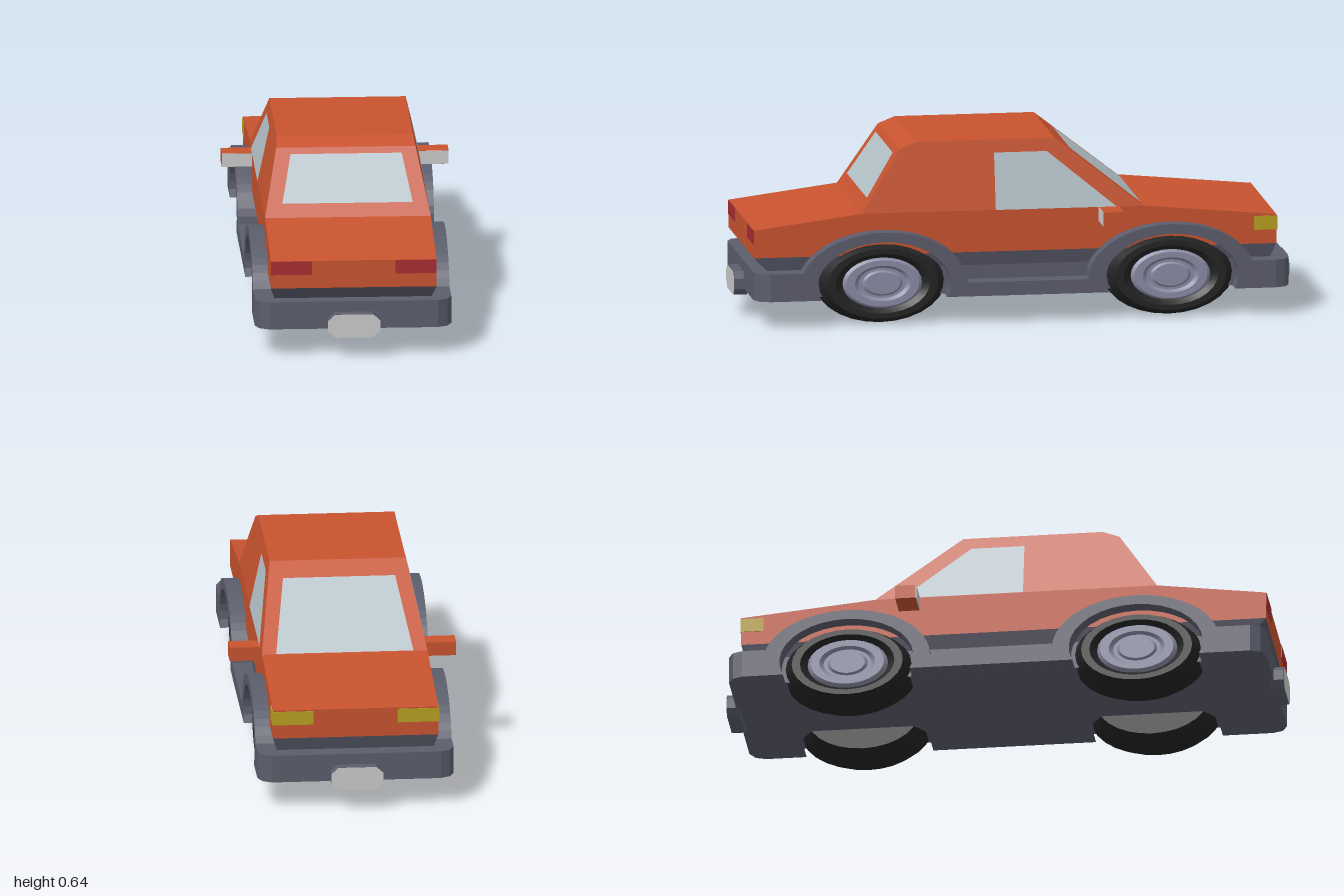
import * as THREE from 'three';
import { toCreasedNormals } from 'three/addons/utils/BufferGeometryUtils.js';

const mat = (color) => new THREE.MeshStandardMaterial({ color });

// Extrudes a (z, y) side profile across x0..x1; widthAt(y) optionally tapers it.
function sideExtrude(points, x0, x1, widthAt) {
  const shape = new THREE.Shape(points.map(([z, y]) => new THREE.Vector2(z, y)));
  const geo = new THREE.ExtrudeGeometry(shape, { depth: x1 - x0, bevelEnabled: false });
  geo.rotateY(-Math.PI / 2).translate(x1, 0, 0);
  if (widthAt) {
    const p = geo.attributes.position;
    for (let i = 0; i < p.count; i++) p.setX(i, Math.sign(p.getX(i)) * widthAt(p.getY(i)));
    geo.computeVertexNormals();
  }
  return geo;
}

function box(x0, x1, y0, y1, z0, z1) {
  return new THREE.BoxGeometry(x1 - x0, y1 - y0, z1 - z0)
    .translate((x0 + x1) / 2, (y0 + y1) / 2, (z0 + z1) / 2);
}

// Flat pane from four corners, counter-clockwise as seen from outside.
function pane(corners) {
  const geo = new THREE.BufferGeometry();
  geo.setAttribute('position', new THREE.Float32BufferAttribute(corners.flat(), 3));
  geo.setIndex([0, 1, 2, 0, 2, 3]);
  geo.computeVertexNormals();
  return geo;
}

// Elliptical arc of (z, y) points.
function arc(cz, cy, rz, ry, from, to, n = 20) {
  return Array.from({ length: n + 1 }, (_, i) => {
    const a = from + (to - from) * i / n;
    return [cz + rz * Math.cos(a), cy + ry * Math.sin(a)];
  });
}

export function createModel() {
  const model = new THREE.Group();
  const paint = mat(0xc8532f), trim = mat(0x5b5d6c), rubber = mat(0x232323), metal = mat(0x8a8ca4);
  const plateMat = mat(0xcccccc), yellow = mat(0xb8a020), red = mat(0xa82c30);
  const glass = mat(0xb6c3ca);
  glass.side = THREE.DoubleSide;
  const add = (name, geo, material) => {
    const mesh = new THREE.Mesh(geo, material);
    mesh.name = name;
    model.add(mesh);
    return mesh;
  };
  const PI = Math.PI, axles = [0.5, -0.537], axleY = 0.15;
  const cabinWidth = (y) => 0.295 - (y - 0.4) * 0.212;

  // Painted body and tapered cabin
  add('lowerBody', sideExtrude([[0.96, 0.25], [0.96, 0.35], [0.57, 0.4], [-0.44, 0.4], [-0.92, 0.355], [-0.92, 0.25]],
    -0.295, 0.295), paint);
  add('cabin', sideExtrude([[0.57, 0.4], [0.43, 0.62], [0.37, 0.645], [-0.13, 0.645], [-0.44, 0.4]],
    -1, 1, cabinWidth), paint);

  // Grey underside
  add('lowerBand', sideExtrude([[0.96, 0.25], [0.91, 0.2], [-0.9, 0.2], [-0.92, 0.25]],
    -1, 1, (y) => 0.28 + (y - 0.2) * 0.3), trim);
  add('floor', box(-0.28, 0.28, 0.1, 0.2, -0.9, 0.9), trim);

  // Side skirts with wheel arches
  const t = 0.266, u = 0.328;
  const skirt = [
    [0.82, 0.1], [0.82, 0.2],
    ...arc(axles[0], axleY, 0.3, 0.19, t, PI),
    ...arc(axles[1], axleY, 0.3, 0.19, 0, PI - t),
    [-0.85, 0.2], [-0.85, 0.1],
    ...arc(axles[1], axleY, 0.24, 0.155, PI + u, -u),
    ...arc(axles[0], axleY, 0.24, 0.155, PI + u, -u),
  ];
  add('leftSkirt', sideExtrude(skirt, 0.27, 0.35), trim);
  add('rightSkirt', sideExtrude(skirt, -0.35, -0.27), trim);

  // Bumpers with cut corners, and number plates
  for (const [s, end, zIn] of [[1, 'front', 0.76], [-1, 'back', 0.785]]) {
    const plan = [[-0.35, zIn], [-0.35, 0.91], [-0.335, 0.945], [-0.3, 0.963],
      [0.3, 0.963], [0.335, 0.945], [0.35, 0.91], [0.35, zIn]];
    const shape = new THREE.Shape(plan.map(([x, z]) => new THREE.Vector2(x, -s * z)));
    add(end + 'Bumper', new THREE.ExtrudeGeometry(shape, { depth: 0.1, bevelEnabled: false })
      .rotateX(-PI / 2).translate(0, 0.1, 0), trim);

    const outline = new THREE.Shape([[-0.093, 0.1], [-0.068, 0.076], [0.068, 0.076], [0.093, 0.1],
      [0.093, 0.138], [0.068, 0.161], [-0.068, 0.161], [-0.093, 0.138]].map(([x, y]) => new THREE.Vector2(x, y)));
    const holder = new THREE.ExtrudeGeometry(outline, { depth: 0.048, bevelEnabled: false }).translate(0, 0, 0.95);
    const face = new THREE.ShapeGeometry(outline).translate(0, 0, 1);
    if (s < 0) { holder.rotateY(PI); face.rotateY(PI); }
    add(end + 'PlateHolder', holder, trim);
    add(end + 'Plate', face, plateMat);
  }

  // Windows at both ends of the cabin, lifted slightly off the paint
  const e = 0.003;
  add('rearWindow', pane([[-0.232, 0.445, 0.541 + e], [0.232, 0.445, 0.541 + e],
    [0.198, 0.6, 0.443 + e], [-0.198, 0.6, 0.443 + e]]), glass);
  add('windshield', pane([[0.245, 0.402, -0.438 - e], [-0.245, 0.402, -0.438 - e],
    [-0.2, 0.6, -0.187 - e], [0.2, 0.6, -0.187 - e]]), glass);

  for (const [s, side] of [[1, 'left'], [-1, 'right']]) {
    // Side window
    const corners = [[0.4, 0.09], [0.4, -0.345], [0.6, -0.1], [0.6, 0.09]]
      .map(([y, z]) => [s * (cabinWidth(y) + 0.002), y, z]);
    add(side + 'SideWindow', pane(s > 0 ? corners : corners.reverse()), glass);

    // Lights
    const span = (a, b) => (s > 0 ? [a, b] : [-b, -a]);
    add(side + 'TailLight', box(...span(0.148, 0.294), 0.3, 0.349, 0.94, 0.963), red);
    add(side + 'Headlight', box(...span(0.15, 0.298), 0.3, 0.35, -0.923, -0.84), yellow);

    // Wing mirror
    add(side + 'Mirror', box(...span(0.28, 0.404), 0.35, 0.4, -0.355, -0.282), paint);
    add(side + 'MirrorGlass', box(...span(0.297, 0.403), 0.351, 0.399, -0.284, -0.279), plateMat);

    // Wheels: lathed along x and stretched along z
    const lathe = (pts) => toCreasedNormals(
      new THREE.LatheGeometry(pts.map(([r, x]) => new THREE.Vector2(r, x)), 28)
        .rotateZ(-s * PI / 2).scale(1, 1, 1.567), 0.45);
    const tyre = [[0, 0.137], [0.127, 0.137], [0.15, 0.19], [0.15, 0.265], [0.127, 0.322],
      [0.108, 0.322], [0.092, 0.302], [0, 0.302]];
    const hub = [[0.091, 0.296], [0.091, 0.31], [0.084, 0.319], [0.064, 0.319], [0.055, 0.307],
      [0.046, 0.307], [0.04, 0.315], [0, 0.315]];
    axles.forEach((z, i) => {
      const wheel = new THREE.Group();
      wheel.name = side + (i ? 'Back' : 'Front') + 'Wheel';
      wheel.position.set(0, axleY, z);
      for (const [name, pts, m] of [['tyre', tyre, rubber], ['hub', hub, metal]]) {
        const mesh = new THREE.Mesh(lathe(pts), m);
        mesh.name = name;
        wheel.add(mesh);
      }
      model.add(wheel);
    });
  }
  return model;
}
